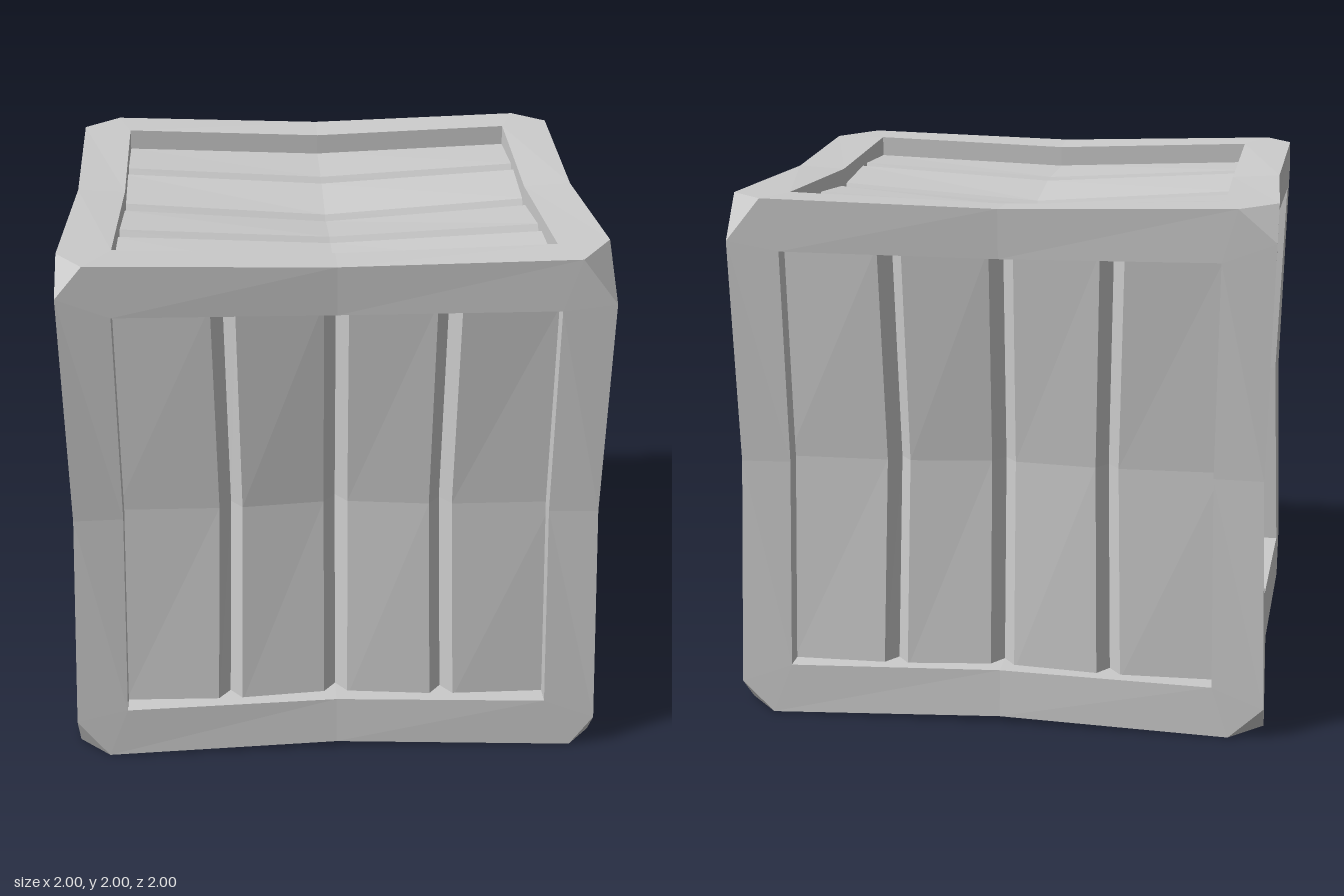
import * as THREE from 'three';

const V = (x, y, z) => new THREE.Vector3(x, y, z);
const X = V(1, 0, 0), Y = V(0, 1, 0), Z = V(0, 0, 1);
const neg = (a) => a.clone().negate();

// Uneven corner cuts [x, y, z], keyed by the signs of the corner
const CUTS = {
  '1,1,1': [0.13, 0.17, 0.22], '1,1,-1': [0.13, 0.16, 0.13],
  '-1,1,1': [0.10, 0.12, 0.15], '-1,1,-1': [0.14, 0.12, 0.15],
  '1,-1,1': [0.09, 0.12, 0.11], '1,-1,-1': [0.12, 0.12, 0.14],
  '-1,-1,1': [0.12, 0.15, 0.12], '-1,-1,-1': [0.13, 0.12, 0.13],
};

// Corner point slid back along one axis (0, 1 or 2) by its cut
function cutPoint(corner, axis) {
  const s = corner.toArray().map(Math.sign);
  const p = s.slice();
  p[axis] -= s[axis] * CUTS[s.join()][axis];
  return V(...p);
}

function meshFrom(name, points) {
  const geo = new THREE.BufferGeometry().setFromPoints(points);
  geo.computeVertexNormals();
  const mesh = new THREE.Mesh(geo, new THREE.MeshStandardMaterial({ color: 0xcccccc, flatShading: true }));
  mesh.name = name;
  return mesh;
}
const quad = (out, a, b, c, d) => out.push(a, b, c, a, c, d);

// Pinched border of one side: four bars with inner walls
function frame(name, n, u, v) {
  const pts = [];
  for (let k = 0; k < 4; k++) {
    const c = Math.round(Math.cos(k * Math.PI / 2)), s = Math.round(Math.sin(k * Math.PI / 2));
    const along = u.clone().multiplyScalar(c).addScaledVector(v, s);
    const out = u.clone().multiplyScalar(s).addScaledVector(v, -c);
    const at = (a, o, h) => V(0, 0, 0).addScaledVector(along, a).addScaledVector(out, o).addScaledVector(n, h);
    const axisOf = (d) => d.toArray().findIndex((e) => Math.abs(e) > 0.5);
    const A = cutPoint(at(-1, 1, 1), axisOf(along)), B = cutPoint(at(1, 1, 1), axisOf(along));
    const next = cutPoint(at(1, 1, 1), axisOf(out));
    const M = at(0, 0.977, 0.977);
    const a = at(-0.805, 0.805, 0.995), m = at(0, 0.793, 0.967), b = at(0.805, 0.805, 0.995);
    const a2 = at(-0.805, 0.805, 0.78), m2 = at(0, 0.793, 0.78), b2 = at(0.805, 0.805, 0.78);
    quad(pts, A, M, m, a);
    quad(pts, M, B, b, m);
    pts.push(B, next, b);
    quad(pts, a, m, m2, a2);
    quad(pts, m, b, b2, m2);
  }
  return meshFrom(name, pts);
}

// Dished planks with V grooves; u runs across the planks, v along them
function planks(name, n, u, v) {
  // [position across, depth below the face] at the plank ends
  const half = [[0, 0.155], [0.045, 0.095], [0.365, 0.07], [0.41, 0.13], [0.455, 0.07], [0.82, 0.085]];
  const section = [...half.slice(1).reverse().map(([p, d]) => [-p, d]), ...half];
  const point = ([p, d], t) => {
    const mid = t === 0;
    const grooveBend = mid && Math.abs(p) > 0.3 && Math.abs(p) < 0.5 ? 0.96 : 1;
    const sag = mid ? 0.06 - 0.03 * Math.abs(p) / 0.82 : 0;
    return V(0, 0, 0).addScaledVector(u, p * grooveBend).addScaledVector(v, t).addScaledVector(n, 1 - d - sag);
  };
  const pts = [];
  for (let i = 0; i < section.length - 1; i++) {
    for (const [t0, t1] of [[-0.82, 0], [0, 0.82]]) {
      quad(pts, point(section[i], t0), point(section[i + 1], t0), point(section[i + 1], t1), point(section[i], t1));
    }
  }
  return meshFrom(name, pts);
}

// Small triangles across the eight cut corners
function corners() {
  const pts = [];
  for (const key of Object.keys(CUTS)) {
    const c = V(...key.split(',').map(Number));
    const tri = [0, 1, 2].map((axis) => cutPoint(c, axis));
    pts.push(...(c.x * c.y * c.z > 0 ? tri : tri.reverse()));
  }
  return meshFrom('cutCorners', pts);
}

export function createModel() {
  const crate = new THREE.Group();
  crate.name = 'crate';
  // [side, outward, across planks, along planks]
  const sides = [
    ['front', Z, X, Y], ['back', neg(Z), neg(X), Y],
    ['left', X, Y, Z], ['right', neg(X), Y, neg(Z)],
    ['top', Y, Z, X], ['bottom', neg(Y), X, Z],
  ];
  for (const [side, n, u, v] of sides) {
    crate.add(frame(side + 'Frame', n, u, v), planks(side + 'Planks', n, u, v));
  }
  crate.add(corners());
  crate.children.forEach((part) => { part.position.y = 1; });
  return crate;
}
